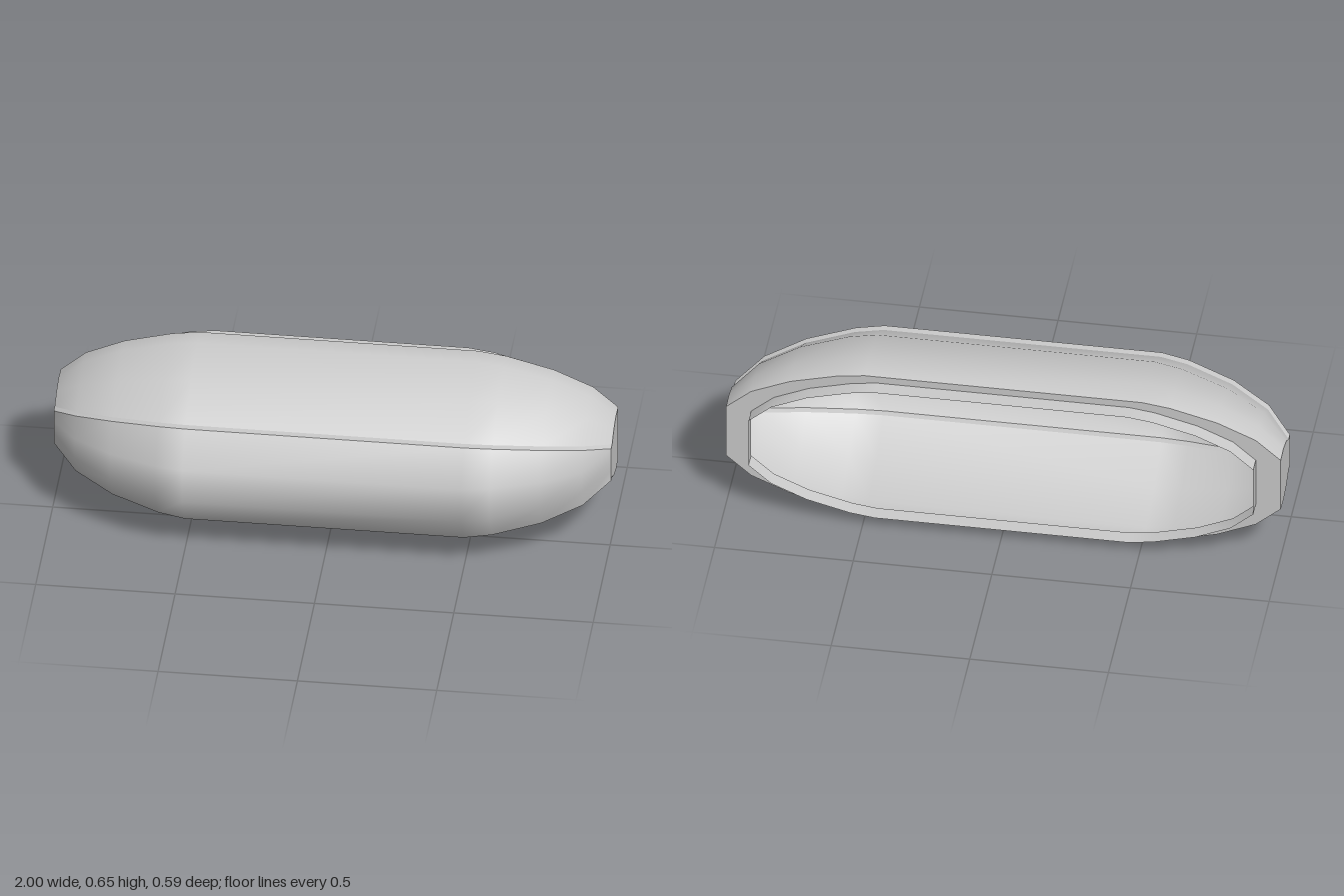
import * as THREE from 'three';

const CY = 0.324;      // height of the long axis
const K_END = 0.355;   // section scale at the flat ends
const LIP = 0.91;      // inset of the rear lip
const REAR = -0.237, LIP_Z = -0.295;

// stations along the length: [x, section scale]
const half = [[0.5, 1], [0.6, 0.955], [0.77, 0.81], [0.91, 0.61], [1, K_END]];
const stations = [...half.map(([x, k]) => [-x, k]).reverse(), ...half];

// profile points: z at the middle, z at the ends, half height, inset scale
const pt = (zMid, zEnd, h, s = 1) => ({ zMid, zEnd, h, s });
const lipEdge = pt(LIP_Z, LIP_Z, 0.309, LIP);
const lipRoot = pt(REAR, REAR, 0.309, LIP);
const rim = pt(REAR, REAR, 0.309);
const peak = pt(-0.145, -0.175, 0.324);
const shoulder = pt(0.04, -0.11, 0.282);
const groove = pt(0.187, -0.057, 0.192);
const ridge = pt(0.213, -0.03, 0.192);
const nose = pt(0.295, -0.03, 0.067);

const mirror = (points) => points.map((p) => ({ ...p, h: -p.h })).reverse();

const material = new THREE.MeshStandardMaterial({ color: 0xcccccc, side: THREE.DoubleSide });

// smooth strip swept through all stations
function strip(name, profile) {
  const pos = [], index = [], n = profile.length;
  stations.forEach(([x, k], i) => {
    const t = (k - K_END) / (1 - K_END);
    profile.forEach((p, j) => {
      pos.push(x * p.s, CY + p.h * k * p.s, THREE.MathUtils.lerp(p.zEnd, p.zMid, t));
      if (i < stations.length - 1 && j < n - 1) {
        const a = i * n + j, b = a + 1, c = a + n, d = c + 1;
        index.push(a, b, c, b, d, c);
      }
    });
  });
  const g = new THREE.BufferGeometry();
  g.setAttribute('position', new THREE.Float32BufferAttribute(pos, 3));
  g.setIndex(index);
  g.computeVertexNormals();
  const mesh = new THREE.Mesh(g, material);
  mesh.name = name;
  return mesh;
}

// flat panel lying in the z-y plane, facing outward at x = side * x
function endPanel(name, points, x, side) {
  const outline = [...points, ...mirror(points)];
  const shape = new THREE.Shape(outline.map((p) =>
    new THREE.Vector2(-side * p.zEnd, p.h * K_END * p.s)));
  const g = new THREE.ShapeGeometry(shape);
  g.rotateY(side * Math.PI / 2).translate(side * x, CY, 0);
  const mesh = new THREE.Mesh(g, material);
  mesh.name = name;
  return mesh;
}

export function createModel() {
  const model = new THREE.Group();
  model.name = 'capsuleCover';

  // front band
  model.add(strip('frontBand', [ridge, nose, ...mirror([ridge, nose])]));

  // upper and lower halves of the shell
  const parts = {
    Shell: [rim, peak, shoulder, groove],
    Ledge: [groove, ridge],
    RearStep: [lipRoot, rim],
    RearLip: [lipEdge, lipRoot],
  };
  for (const [name, profile] of Object.entries(parts)) {
    model.add(strip('upper' + name, profile));
    model.add(strip('lower' + name, mirror(profile)));
  }

  // flat ends
  for (const side of [1, -1]) {
    const label = side > 0 ? 'left' : 'right';
    model.add(endPanel(label + 'EndCap', [rim, peak, shoulder, groove, ridge], 1, side));
    model.add(endPanel(label + 'LipEnd', [lipEdge, lipRoot], LIP, side));

    // step between end cap and lip, facing the rear
    const h = rim.h * K_END;
    const shape = new THREE.Shape([[1, h], [LIP, h * LIP], [LIP, -h * LIP], [1, -h]]
      .map(([x, y]) => new THREE.Vector2(-side * x, y)));
    const g = new THREE.ShapeGeometry(shape).rotateY(Math.PI).translate(0, CY, REAR);
    const step = new THREE.Mesh(g, material);
    step.name = label + 'StepEnd';
    model.add(step);
  }
  return model;
}
